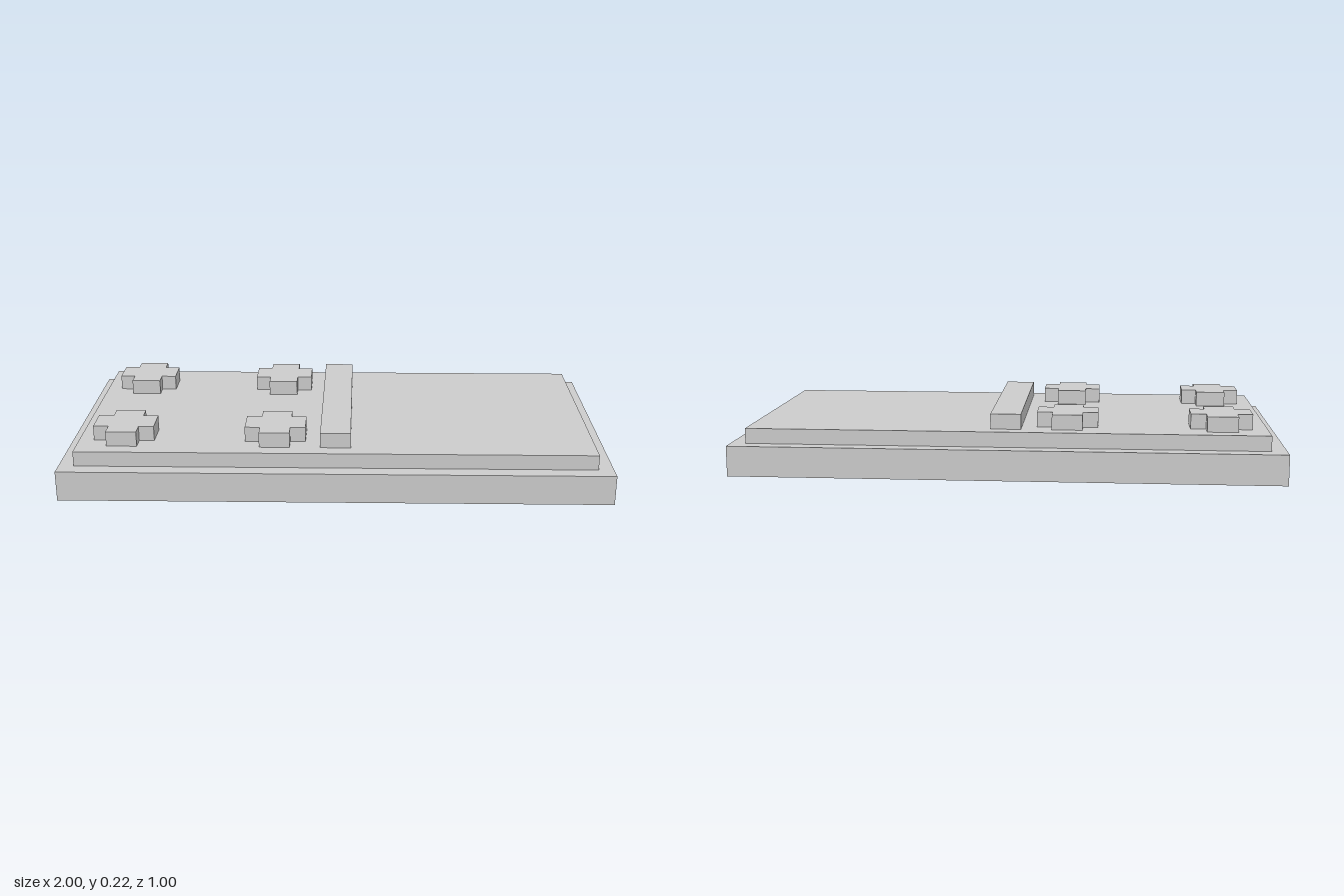
import * as THREE from 'three';

// All sizes are multiples of one module unit
const U = 1 / 18;
const material = new THREE.MeshStandardMaterial({ color: 0xcccccc, flatShading: true });

function slab(name, width, depth, height, bottom) {
  const mesh = new THREE.Mesh(new THREE.BoxGeometry(width * U, height * U, depth * U), material);
  mesh.name = name;
  mesh.position.y = (bottom + height / 2) * U;
  return mesh;
}

// Plus-shaped outline: four arms around a square centre
function crossGeometry(reach, half, height) {
  const points = [];
  for (let i = 0; i < 4; i++) {
    const turn = (i * Math.PI) / 2;
    for (const [x, y] of [[reach, -half], [reach, half], [half, half]]) {
      points.push(new THREE.Vector2(x * U, y * U).rotateAround(new THREE.Vector2(), turn));
    }
  }
  const geometry = new THREE.ExtrudeGeometry(new THREE.Shape(points), { depth: height * U, bevelEnabled: false });
  return geometry.rotateX(-Math.PI / 2);
}

export function createModel() {
  const model = new THREE.Group();
  model.name = 'steppedPanel';

  // Stepped base and the divider across its middle
  model.add(slab('base', 36, 18, 2, 0));
  model.add(slab('raisedPlate', 34, 16, 1, 2));
  model.add(slab('dividerBar', 2, 14, 1, 3));

  // Four crosses on the right half
  const cross = crossGeometry(2, 1, 1);
  for (const x of [-14, -4]) {
    for (const z of [-5, 5]) {
      const mesh = new THREE.Mesh(cross, material);
      mesh.name = `${z > 0 ? 'front' : 'back'}${x < -9 ? 'Outer' : 'Inner'}Cross`;
      mesh.position.set(x * U, 3 * U, z * U);
      model.add(mesh);
    }
  }
  return model;
}
